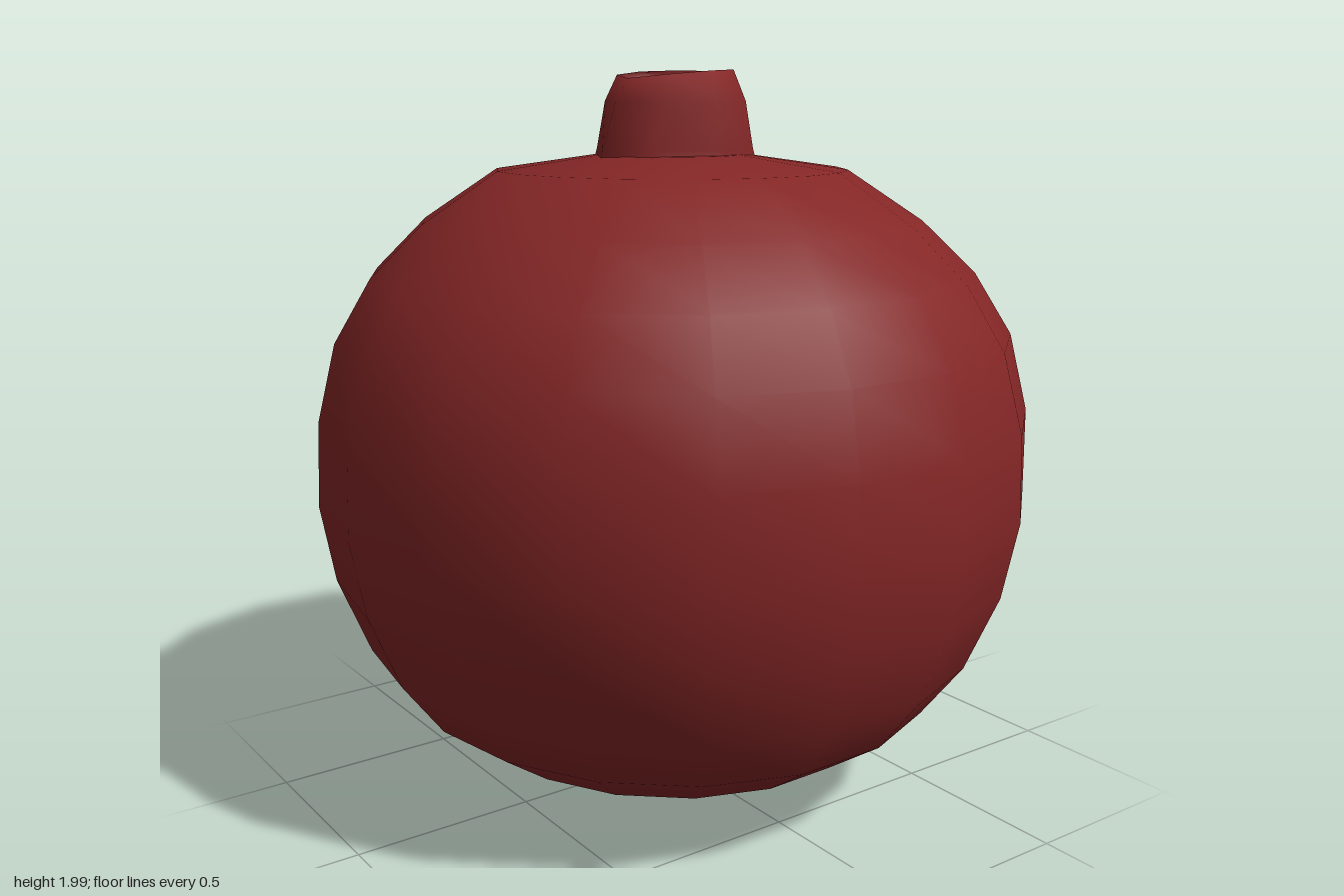
import * as THREE from 'three';
import { mergeVertices } from 'three/addons/utils/BufferGeometryUtils.js';

// Low-sided lathe, reshaped by a rule, with welded smooth normals
function turned(profile, sides, reshape) {
  const lathe = new THREE.LatheGeometry(profile.map(([r, y]) => new THREE.Vector2(r, y)), sides);
  lathe.deleteAttribute('uv');
  lathe.deleteAttribute('normal');
  const p = lathe.attributes.position;
  const v = new THREE.Vector3();
  for (let i = 0; i < p.count; i++) {
    v.fromBufferAttribute(p, i);
    reshape(v);
    p.setXYZ(i, v.x, v.y, v.z);
  }
  const g = mergeVertices(lathe, 1e-4);
  g.computeVertexNormals();
  return g;
}

export function createModel() {
  const group = new THREE.Group();
  group.name = 'pomegranate';

  const rind = new THREE.MeshStandardMaterial({ color: 0x842626 });
  rind.name = 'dark red rind';

  // Round fruit body, slightly flattened at the shoulder
  const bodyProfile = [
    [0, 0.005], [0.19, 0.018], [0.38, 0.073], [0.59, 0.168], [0.75, 0.28], [0.86, 0.43],
    [0.945, 0.64], [0.985, 0.85], [0.98, 1.08], [0.93, 1.29], [0.83, 1.455],
    [0.685, 1.595], [0.48, 1.73], [0.2, 1.77], [0, 1.78],
  ];
  const body = new THREE.Mesh(turned(bodyProfile, 18, (v) => {
    v.z *= 0.992;
    // gentle hand-made unevenness of the skin
    const a = Math.atan2(v.z, v.x);
    const k = 1 + 0.006 * Math.sin(3 * a + 4 * v.y);
    v.x *= k;
    v.z *= k;
  }), rind);
  body.name = 'fruitBody';
  group.add(body);

  // Hollow crown: straight at the sides, flared towards front and back at its foot
  const crownProfile = [
    [0.195, 1.75], [0.188, 1.785], [0.195, 1.91], [0.165, 1.98],
    [0.118, 1.965], [0.095, 1.88], [0, 1.86],
  ];
  const crown = new THREE.Mesh(turned(crownProfile, 8, (v) => {
    const t = THREE.MathUtils.clamp((1.93 - v.y) / 0.15, 0, 1);
    const outer = Math.hypot(v.x, v.z) > 0.15;
    if (outer) v.z *= 0.93 + 0.32 * t;
    // the rim rises slightly to the back and at its corners
    if (v.y > 1.95) v.y += -0.06 * v.z + 0.06 * Math.abs(v.x) - 0.002;
    v.z -= 0.01;
  }), rind);
  crown.name = 'crown';
  group.add(crown);

  return group;
}
